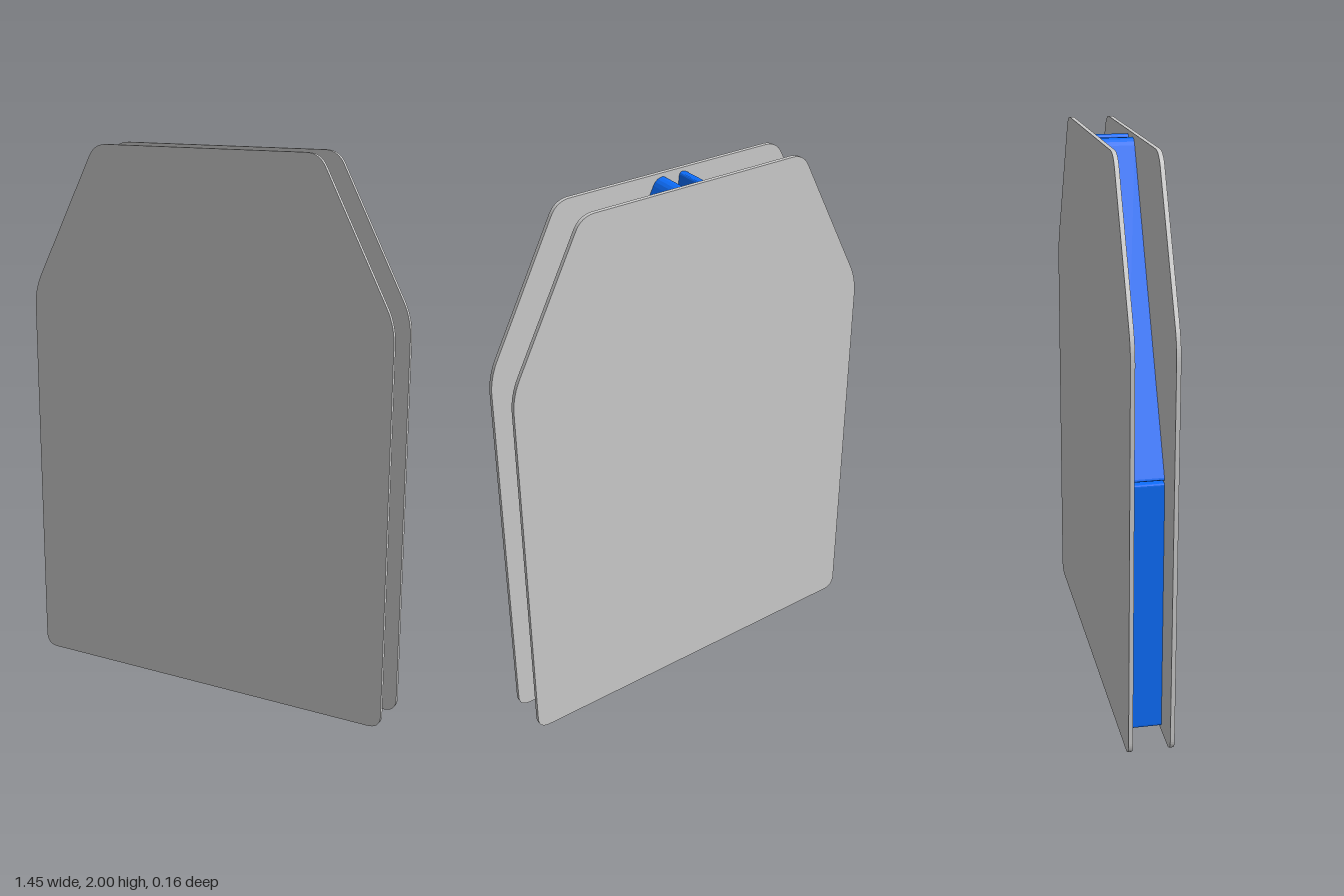
import * as THREE from 'three';

// Closed outline from corners [x, y, cut]; cut is how far the rounding reaches along each side
function roundedOutline(corners) {
  const shape = new THREE.Shape();
  const n = corners.length;
  corners.forEach(([x, y, cut], i) => {
    const p = new THREE.Vector2(x, y);
    const toward = ([qx, qy]) =>
      new THREE.Vector2(qx, qy).sub(p).setLength(cut).add(p);
    const a = toward(corners[(i + n - 1) % n]);
    const b = toward(corners[(i + 1) % n]);
    if (i === 0) shape.moveTo(a.x, a.y);
    else shape.lineTo(a.x, a.y);
    shape.quadraticCurveTo(x, y, b.x, b.y);
  });
  shape.closePath();
  return shape;
}

// Right half (bottom to top) mirrored to a full counter-clockwise outline
function mirrored(half) {
  return [...half, ...half.map(([x, y, c]) => [-x, y, c]).reverse()];
}

function slab(name, corners, z0, z1, material, segments) {
  const geometry = new THREE.ExtrudeGeometry(roundedOutline(corners), {
    depth: z1 - z0,
    bevelEnabled: false,
    curveSegments: segments,
  });
  geometry.translate(0, 0, z0);
  const mesh = new THREE.Mesh(geometry, material);
  mesh.name = name;
  return mesh;
}

export function createModel() {
  const model = new THREE.Group();
  model.name = 'sandwichPanel';
  const grey = new THREE.MeshStandardMaterial({ color: 0xcccccc });
  const blue = new THREE.MeshStandardMaterial({ color: 0x0d6efd });

  const inner = 0.065;
  const outer = 0.08;

  // Two outer plates with chamfered shoulders
  const plate = mirrored([
    [0.727, 0, 0.05],
    [0.727, 1.453, 0.065],
    [0.444, 2, 0.05],
  ]);
  model.add(slab('frontPlate', plate, inner, outer, grey, 10));
  model.add(slab('backPlate', plate, -outer, -inner, grey, 10));

  // Lower core: upright block between the plates
  const lower = mirrored([
    [0.59, 0.018, 0.012],
    [0.59, 0.938, 0.008],
  ]);
  model.add(slab('lowerCore', lower, -inner, inner, blue, 4));

  // Upper core: gable with a notched, rounded double tip
  const upper = mirrored([
    [0.59, 0.946, 0.012],
    [0.062, 1.99, 0.03],
    [0.03, 1.985, 0.012],
    [0.018, 1.88, 0.008],
  ]);
  model.add(slab('upperCore', upper, -inner, inner, blue, 4));

  return model;
}
